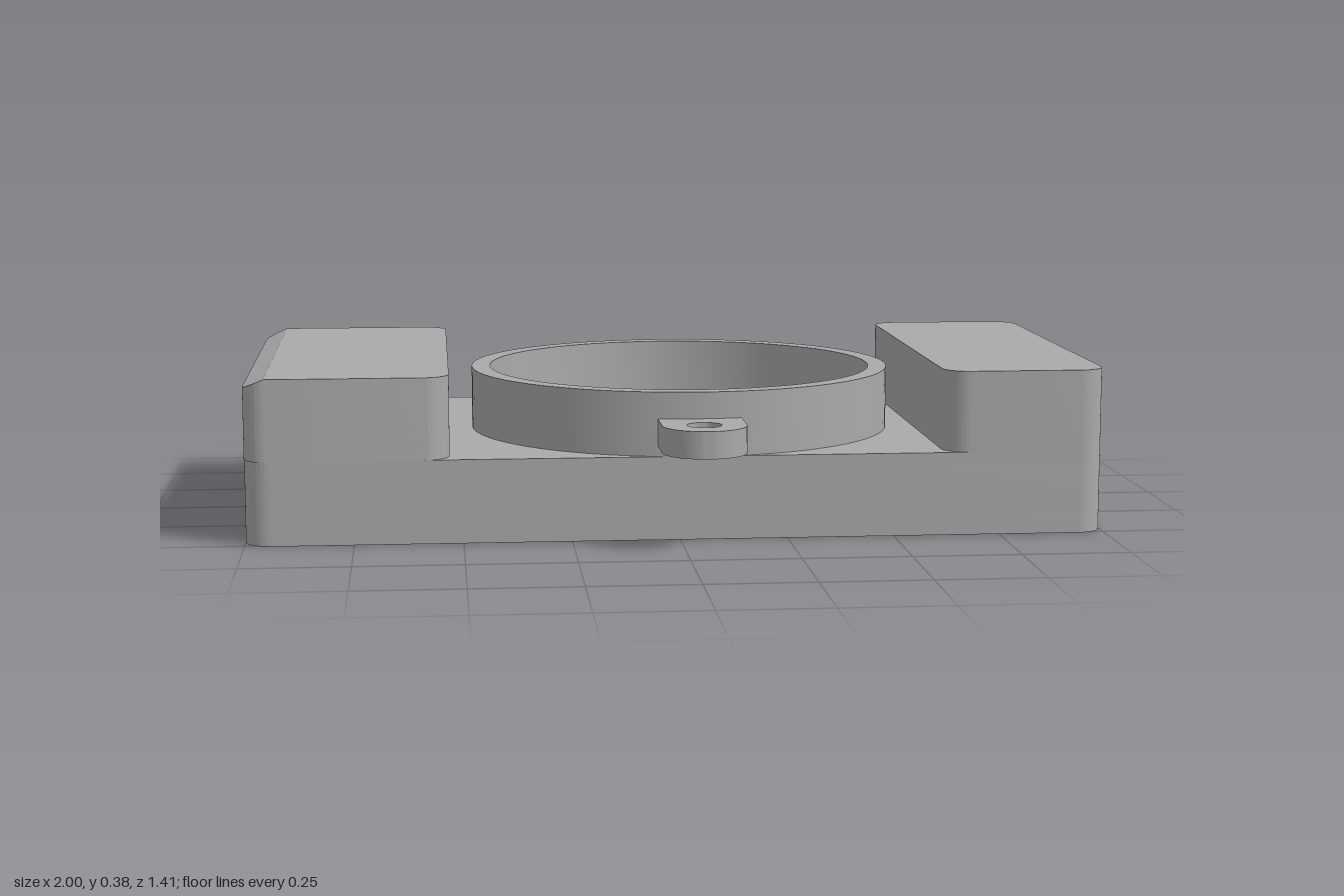
import * as THREE from 'three';
import { toCreasedNormals } from 'three/addons/utils/BufferGeometryUtils.js';

const CX = 0.045; // centre of the round socket
const HALF_Z = 0.51;

// Plan outline; y of the shape is -z. Left and right corner radii may differ.
function plan(x0, x1, z0, z1, rl, rr) {
  const s = new THREE.Shape();
  s.moveTo(x0 + rl, z0);
  s.lineTo(x1 - rr, z0);
  if (rr) s.absarc(x1 - rr, z0 + rr, rr, -Math.PI / 2, 0);
  s.lineTo(x1, z1 - rr);
  if (rr) s.absarc(x1 - rr, z1 - rr, rr, 0, Math.PI / 2);
  s.lineTo(x0 + rl, z1);
  if (rl) s.absarc(x0 + rl, z1 - rl, rl, Math.PI / 2, Math.PI);
  s.lineTo(x0, z0 + rl);
  if (rl) s.absarc(x0 + rl, z0 + rl, rl, Math.PI, Math.PI * 1.5);
  return s;
}

function circleHole(x, y, r) {
  return new THREE.Path().absarc(x, y, r, 0, Math.PI * 2, true);
}

// Extrude a plan outline upward from y0 to y1
function slab(shape, y0, y1, segments = 10) {
  const g = new THREE.ExtrudeGeometry(shape, { depth: y1 - y0, bevelEnabled: false, curveSegments: segments });
  g.rotateX(-Math.PI / 2);
  g.translate(0, y0, 0);
  return toCreasedNormals(g, 0.5);
}

export function createModel() {
  const model = new THREE.Group();
  const grey = new THREE.MeshStandardMaterial({ color: 0xaaaaaa });
  grey.name = 'grey plastic';
  const add = (name, geometry) => {
    const mesh = new THREE.Mesh(geometry, grey);
    mesh.name = name;
    model.add(mesh);
    return mesh;
  };
  const basePlan = () => plan(-1, 1, -HALF_Z, HALF_Z, 0.06, 0.06);

  // Hollow base: floor, walls around a box cavity, deck with a round opening
  add('baseFloor', slab(basePlan(), 0, 0.06));
  const walls = basePlan();
  walls.holes.push(new THREE.Path([
    [CX - 0.48, -0.46], [CX - 0.48, 0.46], [CX + 0.48, 0.46], [CX + 0.48, -0.46],
  ].map(([x, y]) => new THREE.Vector2(x, y))));
  add('baseWalls', slab(walls, 0.06, 0.165));
  const deck = basePlan();
  deck.holes.push(circleHole(CX, 0, 0.43));
  add('baseDeck', slab(deck, 0.165, 0.195, 40));

  // Raised end blocks; the right one has a small slope along its outer edge
  add('leftEndBlock', slab(plan(0.62, 1, -HALF_Z, HALF_Z, 0.06, 0.06), 0.195, 0.385));
  add('rightEndBlock', slab(plan(-0.95, -0.53, -HALF_Z, HALF_Z, 0, 0.06), 0.195, 0.385));
  const edge = slab(plan(-1, -0.95, -HALF_Z, HALF_Z, 0.05, 0), 0.195, 0.385);
  const p = edge.attributes.position;
  for (let i = 0; i < p.count; i++) {
    if (p.getY(i) > 0.3) p.setY(i, 0.385 - (-0.95 - p.getX(i)) * 0.44);
  }
  edge.computeVertexNormals();
  add('rightBlockEdge', toCreasedNormals(edge, 0.4));

  // Round collar
  const collar = new THREE.Shape().absarc(CX, 0, 0.515, 0, Math.PI * 2);
  collar.holes.push(circleHole(CX, 0, 0.47));
  add('collar', slab(collar, 0.195, 0.345, 48));

  // Screw ears, front and back
  for (const side of [1, -1]) {
    const ear = new THREE.Shape();
    ear.moveTo(-0.097, 0.485);
    ear.lineTo(0.097, 0.485);
    ear.lineTo(0.097, 0.61);
    ear.absarc(0, 0.61, 0.097, 0, Math.PI);
    ear.lineTo(-0.097, 0.485);
    ear.holes.push(circleHole(0, 0.61, 0.04));
    const mesh = add(side > 0 ? 'frontEar' : 'backEar', slab(ear, 0.22, 0.283, 16));
    mesh.position.x = CX;
    mesh.rotation.y = side > 0 ? Math.PI : 0;
  }

  // Upright ribs on the cavity floor: [x offset, z, length along z]
  const ribs = [[-0.295, 0, 0.145], [0, 0, 0.145], [0.295, 0, 0.145], [0, -0.4, 0.12], [0, 0.4, 0.12]];
  for (const [x, z, length] of ribs) {
    add('rib', new THREE.BoxGeometry(0.028, 0.07, length)).position.set(CX + x, 0.09, z);
  }

  // Support posts under the deck, in the cavity corners
  for (const x of [-0.32, 0.32]) {
    for (const z of [-0.42, 0.42]) {
      add('post', new THREE.BoxGeometry(0.06, 0.11, 0.09)).position.set(CX + x, 0.112, z);
    }
  }
  return model;
}
